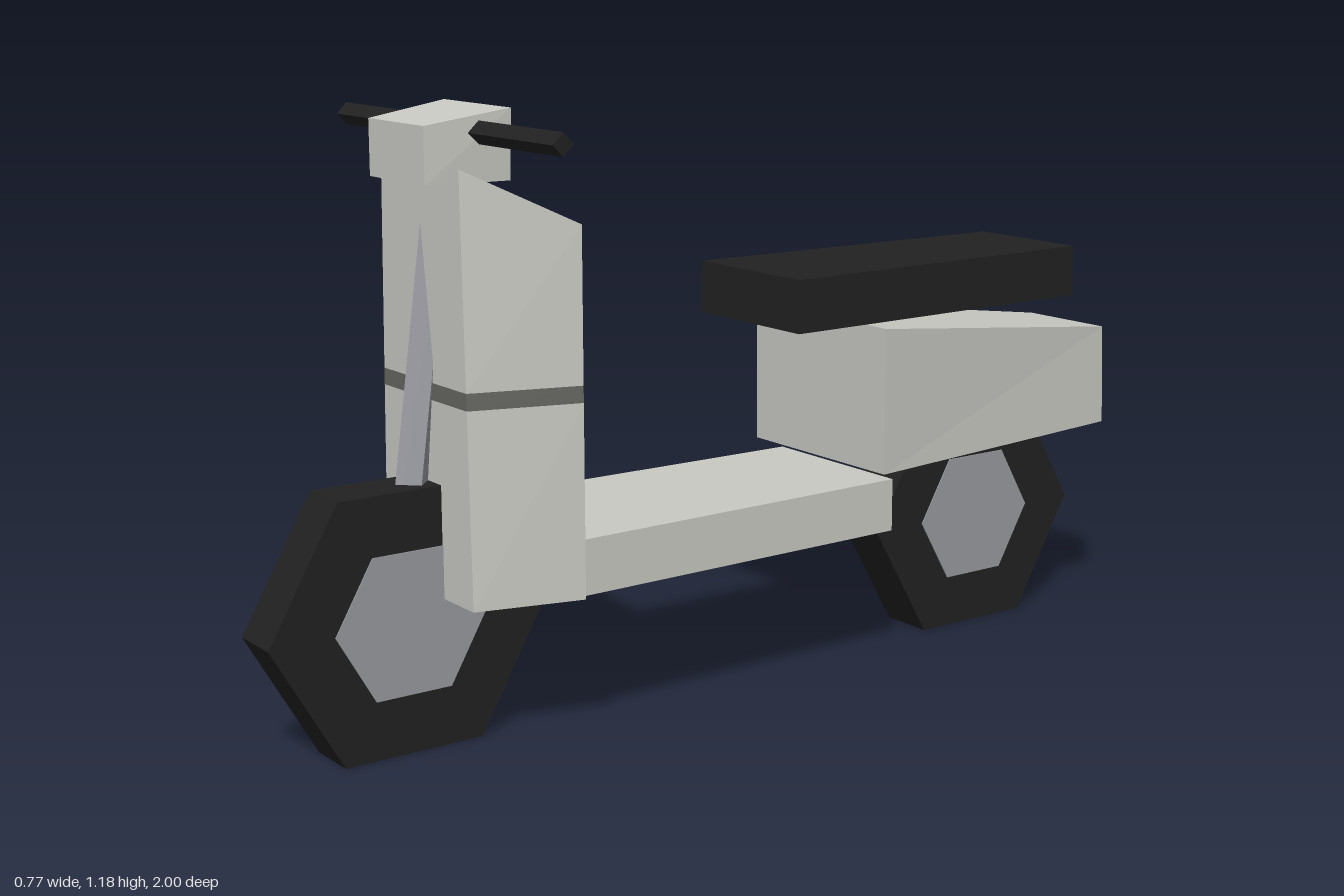
import * as THREE from 'three';

export function createModel() {
  const group = new THREE.Group();
  group.name = 'scooter';

  const material = (name, color) => {
    const m = new THREE.MeshStandardMaterial({ color, flatShading: true });
    m.name = name;
    return m;
  };
  const paint = material('body paint', 0xc8c9c2);
  const black = material('black rubber', 0x212121);
  const metal = material('grey metal', 0x98999f);
  const stripe = material('stripe grey', 0x666661);

  const add = (name, geometry, mat, parent = group) => {
    const mesh = new THREE.Mesh(geometry, mat);
    mesh.name = name;
    parent.add(mesh);
    return mesh;
  };

  // Tapered block between two upright ends: [z, bottomY, topY, bottomHalfWidth, topHalfWidth]
  const block = (name, mat, front, back) => {
    const geo = new THREE.BoxGeometry(1, 1, 1);
    const p = geo.attributes.position;
    for (let i = 0; i < p.count; i++) {
      const [z, y0, y1, w0, w1] = p.getZ(i) > 0 ? front : back;
      const top = p.getY(i) > 0;
      p.setXYZ(i, Math.sign(p.getX(i)) * (top ? w1 : w0), top ? y1 : y0, z);
    }
    geo.computeVertexNormals();
    return add(name, geo, mat);
  };

  // Rod lying along x
  const crossRod = (radius, length, sides) =>
    new THREE.CylinderGeometry(radius, radius, length, sides).rotateZ(Math.PI / 2);

  // Six-sided wheels with flush hub plates
  const wheel = (name, y, z, radius, hubRadius, halfWidth) => {
    const w = new THREE.Group();
    w.name = name;
    w.position.set(0, y, z);
    add('tire', crossRod(radius, halfWidth * 2, 6), black, w);
    for (const side of [-1, 1]) {
      add('hub', crossRod(hubRadius, 0.004, 6), metal, w).position.x = side * (halfWidth + 0.0005);
    }
    group.add(w);
  };
  wheel('frontWheel', 0.251, 0.712, 0.288, 0.157, 0.053);
  wheel('rearWheel', 0.241, -0.677, 0.277, 0.152, 0.058);

  // Leg shield, split by height so the stripe wraps all round
  const frontHalfWidth = (y) => 0.16 - 0.02 * (y - 0.285) / 0.8;
  const shieldBand = (name, mat, y0, yFront, yBack) => block(name, mat,
    [0.645, y0, yFront, frontHalfWidth(y0), frontHalfWidth(yFront)],
    [0.437, y0, yBack, 0.213, 0.213]);
  shieldBand('shieldLower', paint, 0.285, 0.655, 0.655);
  shieldBand('shieldStripe', stripe, 0.655, 0.687, 0.687);
  shieldBand('shieldUpper', paint, 0.687, 1.085, 0.98);

  // Raked four-sided fork running from the front axle up through the shield
  const fork = add('fork', new THREE.CylinderGeometry(0.035, 0.035, 0.84, 4), metal);
  fork.position.set(0, 0.67, 0.652);
  fork.rotation.x = -0.136;

  // Handlebar and its cover
  add('handlebar', crossRod(0.021, 0.77, 4), black).position.set(0, 1.144, 0.585);
  block('handlebarCover', paint,
    [0.69, 1.055, 1.16, 0.1, 0.1],
    [0.522, 1.055, 1.185, 0.112, 0.118]);

  // Floorboard, tail and seat
  block('floorboard', paint,
    [0.44, 0.285, 0.393, 0.194, 0.194],
    [-0.333, 0.285, 0.393, 0.181, 0.181]);
  block('tail', paint,
    [-0.285, 0.415, 0.713, 0.21, 0.21],
    [-1.0, 0.415, 0.628, 0.12, 0.111]);
  block('seat', black,
    [-0.102, 0.715, 0.822, 0.161, 0.159],
    [-0.872, 0.715, 0.822, 0.142, 0.14]);

  return group;
}
